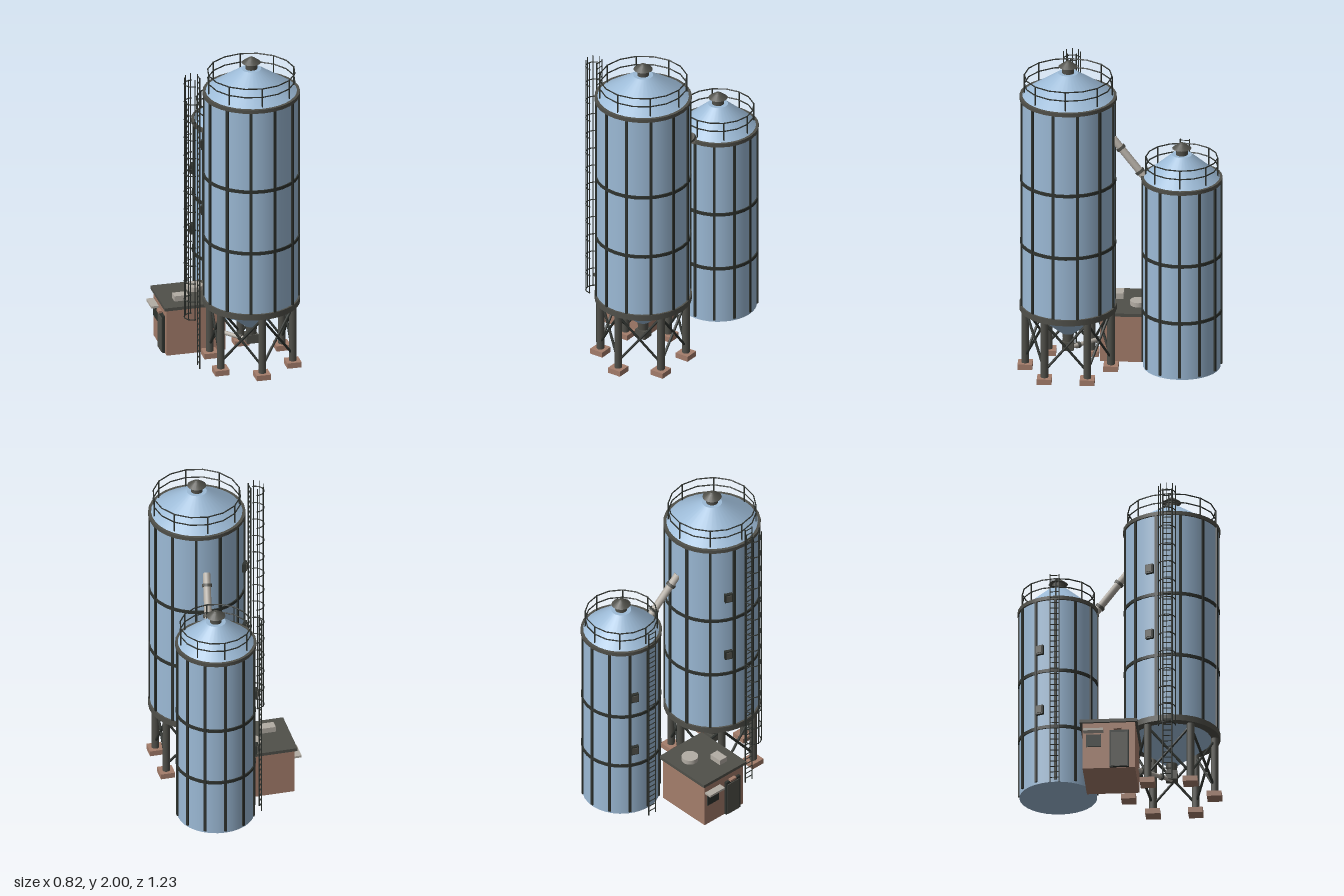
import * as THREE from 'three';

const mat = (name, color, side = THREE.FrontSide) => {
  const m = new THREE.MeshStandardMaterial({ color, side });
  m.name = name;
  return m;
};
const V = (x, y, z) => new THREE.Vector3(x, y, z);

export function createModel() {
  const blue = mat('blue cladding', 0x9cbad6);
  const steel = mat('grey steel', 0x50504a);
  const dark = mat('dark steel', 0x2f332f);
  const brick = mat('brick brown', 0xa47d6b);
  const light = mat('light grey', 0xb3ada4);
  const root = new THREE.Group();
  root.name = 'siloPlant';

  const add = (parent, name, geo, m, x = 0, y = 0, z = 0) => {
    const mesh = new THREE.Mesh(geo, m);
    mesh.name = name;
    mesh.position.set(x, y, z);
    parent.add(mesh);
    return mesh;
  };
  const box = (p, name, m, w, h, d, x, y, z) => add(p, name, new THREE.BoxGeometry(w, h, d), m, x, y, z);
  // Upright cylinder from y0 to y1
  const cyl = (p, name, m, rTop, rBot, y0, y1, n = 28, x = 0, z = 0) =>
    add(p, name, new THREE.CylinderGeometry(rTop, rBot, y1 - y0, n), m, x, (y0 + y1) / 2, z);
  // Round bar between two points
  const bar = (p, name, m, a, b, r, n = 6) => {
    const mesh = add(p, name, new THREE.CylinderGeometry(r, r, a.distanceTo(b), n), m);
    mesh.position.copy(a).lerp(b, 0.5);
    mesh.quaternion.setFromUnitVectors(V(0, 1, 0), b.clone().sub(a).normalize());
    return mesh;
  };
  const polar = (r, a, y) => V(r * Math.cos(a), y, r * Math.sin(a));

  // Silo with roof, vent, stiffeners, handrail and hatches
  function silo(name, o) {
    const g = new THREE.Group();
    g.name = name;
    g.position.set(o.x, 0, o.z);
    root.add(g);
    const { r, y0, y1 } = o;
    cyl(g, 'shell', blue, r, r, y0, y1, 32);
    cyl(g, 'roof', blue, 0.06, r, y1 + 0.005, y1 + 0.155, 32);
    cyl(g, 'eaveRing', steel, r + 0.011, r + 0.011, y1 - 0.013, y1 + 0.01);
    o.rings.forEach(y => cyl(g, 'hoopRing', dark, r + 0.008, r + 0.008, y - 0.01, y + 0.01));
    for (let i = 0; i < 12; i++) {
      const a = i * Math.PI / 6 + o.ribTurn;
      const p = polar(r + 0.002, a, 0);
      box(g, 'rib', dark, 0.014, y1 - y0 - 0.015, 0.016, p.x, (y0 + y1) / 2 + 0.007, p.z).rotation.y = -a;
    }
    // Roof vent
    cyl(g, 'ventNeck', steel, 0.036, 0.036, y1 + 0.145, y1 + 0.2, 16);
    cyl(g, 'ventCap', steel, 0.022, 0.058, y1 + 0.195, y1 + 0.222, 16);
    cyl(g, 'ventTop', steel, 0.01, 0.022, y1 + 0.222, y1 + 0.23, 16);
    // Handrail
    const rr = r - 0.018;
    for (const y of [y1 + 0.08, y1 + 0.135]) {
      add(g, 'handrail', new THREE.TorusGeometry(rr, 0.004, 5, 16), dark, 0, y, 0).rotation.x = Math.PI / 2;
    }
    for (let i = 0; i < 8; i++) {
      const a = i * Math.PI / 4;
      bar(g, 'railPost', dark, polar(rr, a, y1), polar(rr, a, y1 + 0.137), 0.0045);
    }
    // Inspection hatches
    const ha = Math.PI * 1.128;
    o.hatches.forEach(y => {
      const p = polar(r + 0.008, ha, 0), q = polar(r + 0.02, ha, 0);
      box(g, 'hatchFrame', dark, 0.022, 0.058, 0.048, p.x, y, p.z).rotation.y = -ha;
      box(g, 'hatchDoor', steel, 0.008, 0.042, 0.034, q.x, y, q.z).rotation.y = -ha;
    });
    return g;
  }
  const big = silo('tallSilo', { x: 0.105, z: 0.315, r: 0.281, y0: 0.42, y1: 1.77,
    rings: [1.24, 0.835], ribTurn: Math.PI / 12, hatches: [1.41, 0.98] });
  silo('shortSilo', { x: 0.165, z: -0.37, r: 0.233, y0: 0.07, y1: 1.283,
    rings: [0.805, 0.435], ribTurn: 0, hatches: [0.945, 0.55] });

  // Hopper and discharge valve below the tall silo
  cyl(big, 'baseRing', steel, 0.292, 0.292, 0.4, 0.437, 32);
  cyl(big, 'hopper', blue, 0.245, 0.04, 0.24, 0.405, 32);
  cyl(big, 'hopperNeck', steel, 0.036, 0.03, 0.18, 0.25, 16);
  box(big, 'valve', steel, 0.07, 0.055, 0.07, 0, 0.16, 0);

  // Legs, footings and cross bracing
  for (let i = 0; i < 6; i++) {
    const a = Math.PI / 6 + i * Math.PI / 3, b = a + Math.PI / 3;
    const p = polar(0.257, a, 0);
    cyl(big, 'leg', steel, 0.023, 0.023, 0.035, 0.41, 12, p.x, p.z);
    box(big, 'footing', brick, 0.088, 0.034, 0.088, p.x, 0.023, p.z);
    bar(big, 'brace', dark, polar(0.257, a, 0.08), polar(0.257, b, 0.39), 0.008);
    bar(big, 'brace', dark, polar(0.257, a, 0.39), polar(0.257, b, 0.08), 0.008);
  }

  // Pipe with flanges near both ends
  function pipe(name, a, b, r, ends) {
    const g = new THREE.Group();
    g.name = name;
    root.add(g);
    bar(g, 'pipe', light, a, b, r, 14);
    const d = b.clone().sub(a).normalize().multiplyScalar(0.009);
    ends.forEach(t => {
      const c = a.clone().lerp(b, t);
      bar(g, 'flange', steel, c.clone().sub(d), c.clone().add(d), r + 0.007, 14);
    });
  }
  pipe('transferPipe', V(0.115, 1.51, 0.045), V(0.152, 1.28, -0.145), 0.023, [0.25, 0.86]);
  pipe('dischargePipe', V(0.105, 0.138, 0.315), V(-0.06, 0.138, 0.12), 0.013, [0.3, 0.85]);

  // Ladder with rungs along z
  function ladder(name, x, z, y0, y1) {
    const g = new THREE.Group();
    g.name = name;
    root.add(g);
    for (const s of [-1, 1]) bar(g, 'stile', dark, V(x, y0, z + s * 0.027), V(x, y1, z + s * 0.027), 0.004);
    for (let y = y0 + 0.03; y < y1; y += 0.036) {
      bar(g, 'rung', dark, V(x, y, z - 0.027), V(x, y, z + 0.027), 0.003, 5);
    }
    return g;
  }
  const tall = ladder('tallLadder', -0.22, 0.312, 0, 1.91);
  ladder('shortLadder', -0.11, -0.372, 0.05, 1.42);
  // Safety cage: half hoops and upright straps
  const cx = -0.257, cz = 0.312, cr = 0.051;
  for (let i = 0; i < 14; i++) {
    const hoop = add(tall, 'cageHoop', new THREE.TorusGeometry(cr, 0.0035, 5, 10, Math.PI * 1.1), dark,
      cx, 0.335 + i * 0.1177, cz);
    hoop.rotation.set(Math.PI / 2, 0, Math.PI * 0.45);
  }
  for (let i = 0; i < 5; i++) {
    const p = polar(cr, Math.PI / 2 + i * Math.PI / 4, 0);
    bar(tall, 'cageStrap', dark, V(cx + p.x, 0.33, cz + p.z), V(cx + p.x, 1.91, cz + p.z), 0.003, 5);
  }

  // Control building
  const hut = new THREE.Group();
  hut.name = 'controlBuilding';
  root.add(hut);
  box(hut, 'walls', brick, 0.365, 0.3, 0.315, -0.187, 0.16, -0.028);
  box(hut, 'roofSlab', steel, 0.393, 0.02, 0.345, -0.187, 0.317, -0.03);
  cyl(hut, 'roofFan', light, 0.05, 0.05, 0.325, 0.355, 20, -0.14, -0.092);
  box(hut, 'roofUnit', light, 0.085, 0.036, 0.057, -0.26, 0.343, 0.031);
  box(hut, 'doorFrame', dark, 0.018, 0.24, 0.115, -0.376, 0.132, 0.035);
  box(hut, 'door', steel, 0.008, 0.22, 0.095, -0.386, 0.125, 0.035);
  box(hut, 'doorLamp', brick, 0.022, 0.014, 0.045, -0.389, 0.262, 0.025);
  box(hut, 'windowCanopy', light, 0.045, 0.014, 0.12, -0.392, 0.248, -0.12);
  box(hut, 'window', dark, 0.008, 0.08, 0.09, -0.372, 0.19, -0.12);
  return root;
}
